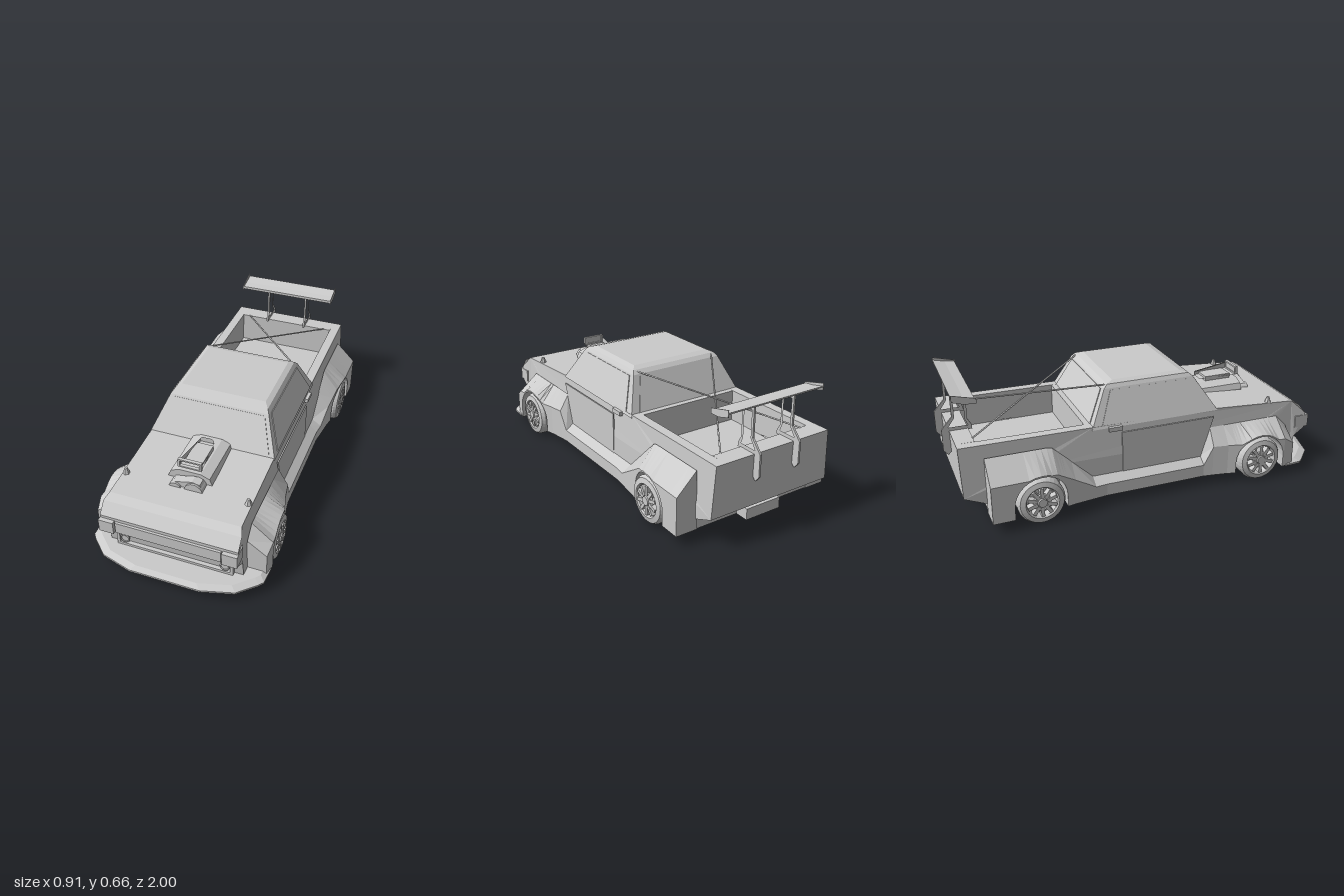
import * as THREE from 'three';

const mat = new THREE.MeshStandardMaterial({ color: 0xcccccc, flatShading: true });
const smooth = new THREE.MeshStandardMaterial({ color: 0xcccccc });
const V = (x, y, z) => new THREE.Vector3(x, y, z);
const WHEEL_Z = 0.6, AXLE_Y = 0.12, ARCH_R = 0.135, FLOOR = 0.055;

export function createModel() {
  const car = new THREE.Group();
  car.name = 'pickupTruck';

  const add = (name, geo, parent = car, m = mat) => {
    const mesh = new THREE.Mesh(geo, m);
    mesh.name = name;
    parent.add(mesh);
    return mesh;
  };
  const box = (name, x0, x1, y0, y1, z0, z1) => add(name,
    new THREE.BoxGeometry(x1 - x0, y1 - y0, z1 - z0).translate((x0 + x1) / 2, (y0 + y1) / 2, (z0 + z1) / 2));
  const shapeOf = (pts, hole) => {
    const s = new THREE.Shape(pts.map(p => new THREE.Vector2(...p)));
    if (hole) s.holes.push(new THREE.Path(hole.map(p => new THREE.Vector2(...p))));
    return s;
  };
  // side profile given as [z, y], extruded across x
  const slab = (pts, x0, x1, hole) =>
    new THREE.ExtrudeGeometry(shapeOf(pts, hole), { depth: x1 - x0, bevelEnabled: false })
      .rotateY(-Math.PI / 2).translate(x1, 0, 0);
  // front profile given as [x, y], extruded along z
  const frontSlab = (pts, z0, z1, hole) =>
    new THREE.ExtrudeGeometry(shapeOf(pts, hole), { depth: z1 - z0, bevelEnabled: false }).translate(0, 0, z0);
  // skin through equal rings of points, capped at both ends
  const loft = rings => {
    const n = rings[0].length, last = (rings.length - 1) * n, idx = [];
    for (let i = 0; i < rings.length - 1; i++) for (let j = 0; j < n; j++) {
      const a = i * n + j, b = i * n + (j + 1) % n;
      idx.push(a, b, b + n, a, b + n, a + n);
    }
    for (let j = 1; j < n - 1; j++) idx.push(0, j + 1, j, last, last + j, last + j + 1);
    const g = new THREE.BufferGeometry().setFromPoints(rings.flat());
    g.setIndex(idx);
    const flat = g.toNonIndexed();
    flat.computeVertexNormals();
    return flat;
  };
  const lerpTable = (t, z) => {
    if (z >= t[0][0]) return t[0][1];
    for (let i = 1; i < t.length; i++) if (z >= t[i][0]) {
      const [z0, a] = t[i - 1], [z1, b] = t[i];
      return a + (b - a) * (z - z0) / (z1 - z0);
    }
    return t[t.length - 1][1];
  };
  // arch outline from front to back as [z, y]
  const arch = zc => {
    const pts = [[zc + ARCH_R, FLOOR]];
    for (let i = 0; i <= 14; i++) {
      const a = Math.PI * i / 14;
      pts.push([zc + ARCH_R * Math.cos(a), AXLE_Y + ARCH_R * Math.sin(a)]);
    }
    return [...pts, [zc - ARCH_R, FLOOR]];
  };

  // body: a centre section with the open bed, and side walls with wheel arches
  const nose = [[0.38, 0.407], [0.84, 0.377], [0.88, 0.355], [0.925, 0.3], [0.925, 0.212], [0.865, 0.17], [0.85, FLOOR]];
  const tail = [[-0.84, FLOOR], [-0.84, 0.11], [-0.955, 0.16], [-0.962, 0.42]];
  add('centreBody', slab([...tail, [-0.87, 0.42], [-0.87, 0.25], [-0.33, 0.25], [-0.33, 0.415], ...nose], -0.28, 0.28));
  for (const s of [1, -1]) {
    const g = slab([...tail, [-0.3, 0.415], ...nose, ...arch(WHEEL_Z), ...arch(-WHEEL_Z)],
      s > 0 ? 0.28 : -0.345, s > 0 ? 0.345 : -0.28);
    const p = g.attributes.position;
    for (let i = 0; i < p.count; i++)
      if (Math.abs(p.getX(i)) > 0.3 && p.getY(i) > 0.37) p.setX(i, s * 0.33);
    add('bodySide', g);
  }

  // wide arches joined by the sill
  const topY = [[0.8, 0.25], [0.74, 0.31], [0.34, 0.31], [0.29, 0.155], [-0.31, 0.155], [-0.52, 0.355], [-0.845, 0.355]];
  const outX = [[0.8, 0.44], [0.74, 0.45], [0.55, 0.445], [0.42, 0.41], [0.3, 0.39], [-0.25, 0.39], [-0.42, 0.41], [-0.6, 0.447], [-0.845, 0.45]];
  const at = z => [z, FLOOR];
  const stations = [...[0.8, 0.74].map(at), ...arch(WHEEL_Z),
    ...[0.42, 0.34, 0.29, -0.25, -0.31, -0.42].map(at), ...arch(-WHEEL_Z), ...[-0.79, -0.845].map(at)];
  for (const s of [1, -1]) {
    add('wideArch', loft(stations.map(([z, yb]) => {
      const yt = lerpTable(topY, z), xo = lerpTable(outX, z);
      const ym = Math.max(FLOOR + (yt - FLOOR) * 0.65, yb + 0.008);
      const ring = [V(s * 0.335, yb, z), V(s * 0.343, yt, z), V(s * xo, ym, z), V(s * xo, yb, z)];
      return s > 0 ? ring : ring.reverse();
    })));
    // door skin and handle
    const o = s > 0 ? 0 : -0.687;
    add('door', slab([[-0.15, 0.15], [-0.15, 0.37], [0.36, 0.37], [0.34, 0.31], [0.29, 0.15]], o + 0.34, o + 0.347));
    box('doorHandle', Math.min(s * 0.33, s * 0.35), Math.max(s * 0.33, s * 0.35), 0.383, 0.405, -0.22, -0.15);
  }

  // cab with glass panels
  const cab = [[0.4, 0.335, 0.385, -0.305], [0.58, 0.262, 0.27, -0.215], [0.598, 0.25, 0.25, -0.195], [0.609, 0.225, 0.21, -0.16]]
    .map(([y, x, zf, zr]) => [V(x, y, zf), V(x, y, zr), V(-x, y, zr), V(-x, y, zf)]);
  add('cab', loft(cab));
  ['sideWindow', 'rearWindow', 'sideWindow', 'windscreen'].forEach((name, j) => {
    const k = (j + 1) % 4, [lo, hi] = cab;
    const spot = (u, v) => lo[j].clone().lerp(lo[k], u).lerp(hi[j].clone().lerp(hi[k], u), v);
    const m = j === 3 ? 0.04 : 0.07;
    const quad = [spot(m, 0.08), spot(1 - m, 0.08), spot(1 - m, 0.95), spot(m, 0.95)];
    const n = quad[1].clone().sub(quad[0]).cross(quad[3].clone().sub(quad[0])).setLength(0.004);
    add(name, loft([quad, quad.map(p => p.clone().add(n))]));
  });

  // nose: grille, headlights, lower intake with round lamps, splitter
  box('grille', -0.265, 0.265, 0.222, 0.283, 0.9, 0.937);
  const rect = (x, y0, y1) => [[-x, y0], [x, y0], [x, y1], [-x, y1]];
  add('lowerIntakeFrame', frontSlab(rect(0.3, 0.078, 0.168), 0.84, 0.875, rect(0.285, 0.092, 0.156)));
  for (const s of [1, -1]) {
    add('headlight', new THREE.BoxGeometry(0.075, 0.068, 0.08).translate(s * 0.309, 0.252, 0.906));
    add('foglight', new THREE.CylinderGeometry(0.02, 0.02, 0.02, 20).rotateX(Math.PI / 2).translate(s * 0.258, 0.123, 0.862));
    add('foglightRing', new THREE.TorusGeometry(0.022, 0.004, 8, 20).translate(s * 0.258, 0.123, 0.873), car, smooth);
    add('fenderMirror', new THREE.CylinderGeometry(0.008, 0.02, 0.036, 6).translate(s * 0.312, 0.398, 0.7));
  }
  const half = [[0.45, 0.76], [0.445, 0.85], [0.425, 0.875], [0.34, 0.955], [0.18, 1]];
  const splitterRing = (y, k) => [...half.map(([x, z]) => V(x - k, y, z - k)), ...half.map(([x, z]) => V(k - x, y, z - k)).reverse()].reverse();
  add('splitter', loft([splitterRing(0.052, 0), splitterRing(0.062, 0), splitterRing(0.077, 0.025)]));

  // engine through the hood: blower, pulleys and intake scoop
  const hump = [[-0.112, 0.37], [-0.112, 0.395], [-0.1, 0.425], [-0.055, 0.443], [0.055, 0.443], [0.1, 0.425], [0.112, 0.395], [0.112, 0.37]];
  add('blower', frontSlab(hump, 0.37, 0.65));
  for (const [x, y, r] of [[-0.055, 0.375, 0.032], [0.04, 0.378, 0.047]])
    add('pulley', new THREE.CylinderGeometry(r, r, 0.06, 24).rotateX(Math.PI / 2).translate(x, y, 0.68));
  add('belt', frontSlab([[-0.09, 0.37], [-0.07, 0.405], [0.03, 0.43], [0.07, 0.422], [0.092, 0.37]], 0.655, 0.7));
  box('scoopNeck', -0.045, 0.045, 0.44, 0.468, 0.46, 0.61);
  const scoopRing = (z, x, y0, y1) => [V(x, y0, z), V(x, y1 - 0.01, z), V(x - 0.01, y1, z),
    V(0.01 - x, y1, z), V(-x, y1 - 0.01, z), V(-x, y0, z)];
  add('scoop', loft([scoopRing(0.64, 0.058, 0.462, 0.502), scoopRing(0.43, 0.035, 0.455, 0.482)].map(r => r.reverse()).reverse()));
  add('scoopLip', frontSlab(rect(0.06, 0.462, 0.507), 0.635, 0.652, rect(0.05, 0.47, 0.499)));

  // bed: crossed stays from the roof to the tail, rear step
  for (const s of [1, -1])
    add('bedStay', new THREE.TubeGeometry(new THREE.LineCurve3(V(s * 0.235, 0.592, -0.195), V(-s * 0.24, 0.42, -0.875)), 1, 0.0045, 6), car, smooth);
  box('rearStep', -0.1, 0.1, FLOOR, 0.112, -0.91, -0.83);

  // rear wing on two brackets
  const wing = new THREE.Group();
  wing.name = 'rearWing';
  car.add(wing);
  add('wingBlade', slab([[-0.85, 0.615], [-0.9, 0.62], [-0.96, 0.643], [-0.96, 0.65], [-0.9, 0.636], [-0.85, 0.63]], -0.273, 0.273), wing);
  const outline = [[-0.87, 0.622], [-0.87, 0.47], [-0.85, 0.435], [-0.85, 0.415], [-0.96, 0.415], [-0.96, 0.31],
    [-0.975, 0.292], [-0.998, 0.32], [-0.998, 0.43], [-0.945, 0.49], [-0.945, 0.636]];
  const gap = [[-0.883, 0.612], [-0.883, 0.47], [-0.87, 0.438], [-0.965, 0.438], [-0.932, 0.485], [-0.932, 0.62]];
  for (const s of [1, -1]) {
    add('wingEndplate', slab([[-0.845, 0.61], [-0.9, 0.612], [-0.96, 0.63], [-0.96, 0.664], [-0.845, 0.635]], s * 0.274 - 0.002, s * 0.274 + 0.002), wing);
    add('wingBracket', slab(outline, s * 0.116 - 0.005, s * 0.116 + 0.005, gap), wing);
  }

  // wheels
  const tyre = [[0.078, -0.075], [0.11, -0.078], [0.12, -0.062], [0.12, 0.055], [0.11, 0.072], [0.084, 0.078], [0.077, 0.07], [0.074, 0.035]];
  for (const s of [1, -1]) for (const z of [WHEEL_Z, -WHEEL_Z]) {
    const wheel = new THREE.Group();
    wheel.name = z > 0 ? 'frontWheel' : 'rearWheel';
    wheel.position.set(s * 0.37, AXLE_Y, z);
    wheel.rotation.z = -s * Math.PI / 2;
    car.add(wheel);
    add('tyre', new THREE.LatheGeometry(tyre.map(p => new THREE.Vector2(...p)), 32), wheel);
    add('rimDisc', new THREE.CylinderGeometry(0.079, 0.079, 0.11, 32).translate(0, -0.02, 0), wheel);
    add('hub', new THREE.CylinderGeometry(0.022, 0.03, 0.05, 16).translate(0, 0.058, 0), wheel);
    add('hubRing', new THREE.TorusGeometry(0.04, 0.006, 8, 24).rotateX(Math.PI / 2).translate(0, 0.068, 0), wheel, smooth);
    for (let i = 0; i < 10; i++)
      add('spoke', new THREE.BoxGeometry(0.05, 0.035, 0.017).translate(0.05, 0.06, 0).rotateY(i * Math.PI / 5), wheel);
  }
  return car;
}
